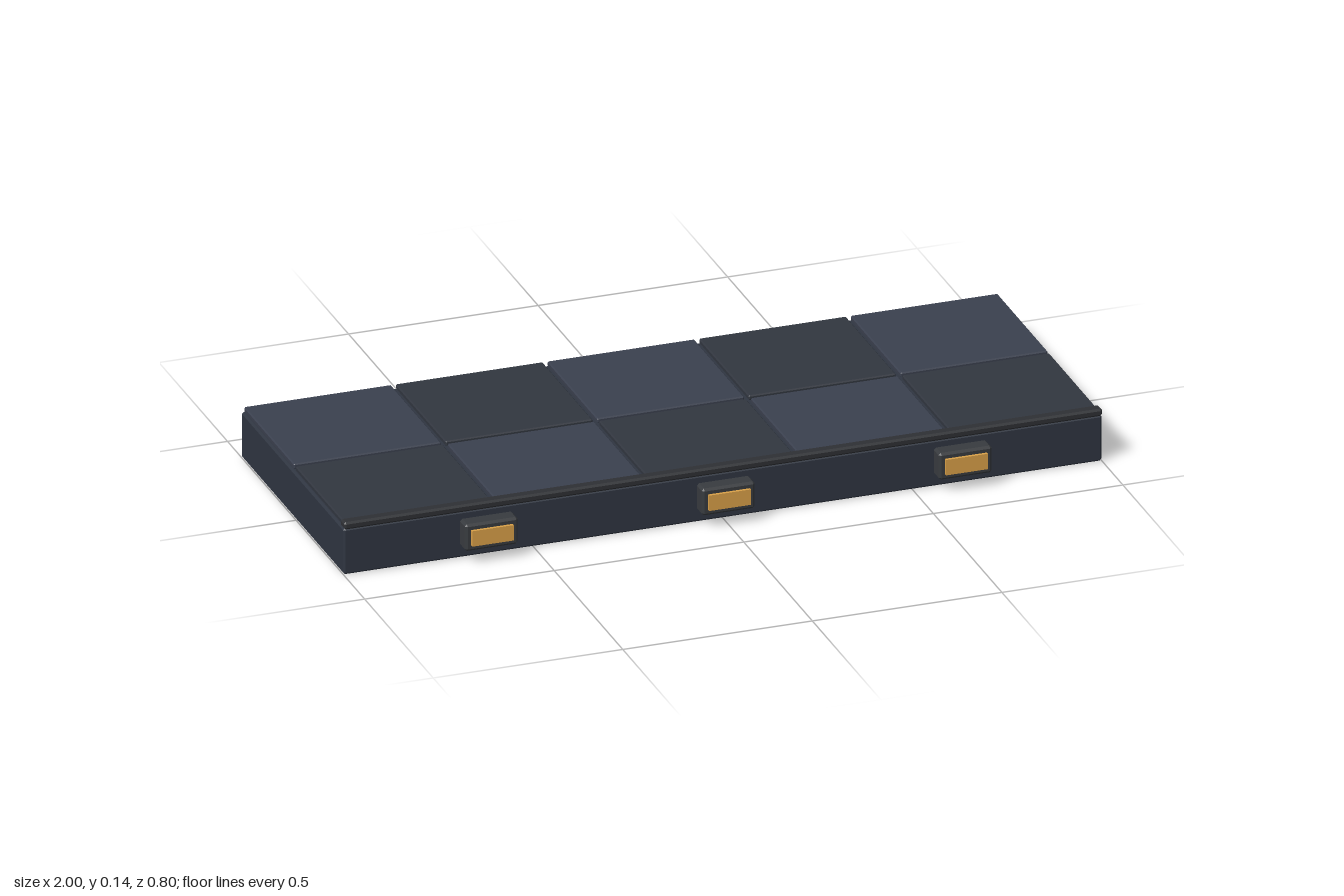
import * as THREE from 'three';
import { ConvexGeometry } from 'three/addons/geometries/ConvexGeometry.js';

const paint = (color) => new THREE.MeshStandardMaterial({ color });

// Box with chamfered edges, given by its limits on each axis
function chamferBox(name, [x0, x1], [y0, y1], [z0, z1], c, material) {
  const half = [(x1 - x0) / 2, (y1 - y0) / 2, (z1 - z0) / 2];
  const points = [];
  for (const sx of [-1, 1]) for (const sy of [-1, 1]) for (const sz of [-1, 1]) {
    for (let face = 0; face < 3; face++) {
      const h = half.map((v, axis) => (axis === face ? v : v - c));
      points.push(new THREE.Vector3(sx * h[0], sy * h[1], sz * h[2]));
    }
  }
  const mesh = new THREE.Mesh(new ConvexGeometry(points), material);
  mesh.name = name;
  mesh.position.set((x0 + x1) / 2, (y0 + y1) / 2, (z0 + z1) / 2);
  return mesh;
}

export function createModel() {
  const model = new THREE.Group();
  model.name = 'floorPlatform';
  const slab = paint(0x2f3541);
  const tileLight = paint(0x3a404e);
  const tileDark = paint(0x31363f);
  const trim = paint(0x2e3034);
  const housing = paint(0x383b3f);
  const amber = paint(0xd9a048);

  // Main slab
  model.add(chamferBox('slab', [-1, 1], [0, 0.125], [-0.4, 0.348], 0.005, slab));

  // Checkered floor panels: two rows of five
  const panels = new THREE.Group();
  panels.name = 'floorPanels';
  const rows = [[-0.397, -0.032], [-0.02, 0.345]];
  rows.forEach((z, row) => {
    for (let col = 0; col < 5; col++) {
      const x = -0.8 + col * 0.4;
      const material = (row + col) % 2 ? tileDark : tileLight;
      panels.add(chamferBox('floorPanel', [x - 0.194, x + 0.194], [0.124, 0.138], z, 0.003, material));
    }
  });
  model.add(panels);

  // Raised lip along the front edge
  model.add(chamferBox('frontLip', [-1, 1], [0.124, 0.144], [0.323, 0.353], 0.005, trim));

  // Marker lamps on the front face
  for (const x of [-0.625, 0, 0.625]) {
    const lamp = new THREE.Group();
    lamp.name = 'markerLamp';
    lamp.add(chamferBox('lampHousing', [-0.07, 0.07], [0.034, 0.107], [0.346, 0.392], 0.006, housing));
    const lens = new THREE.Mesh(new THREE.BoxGeometry(0.11, 0.042, 0.02), amber);
    lens.name = 'lampLens';
    lens.position.set(0, 0.071, 0.39);
    lamp.add(lens);
    lamp.position.x = x;
    model.add(lamp);
  }
  return model;
}
